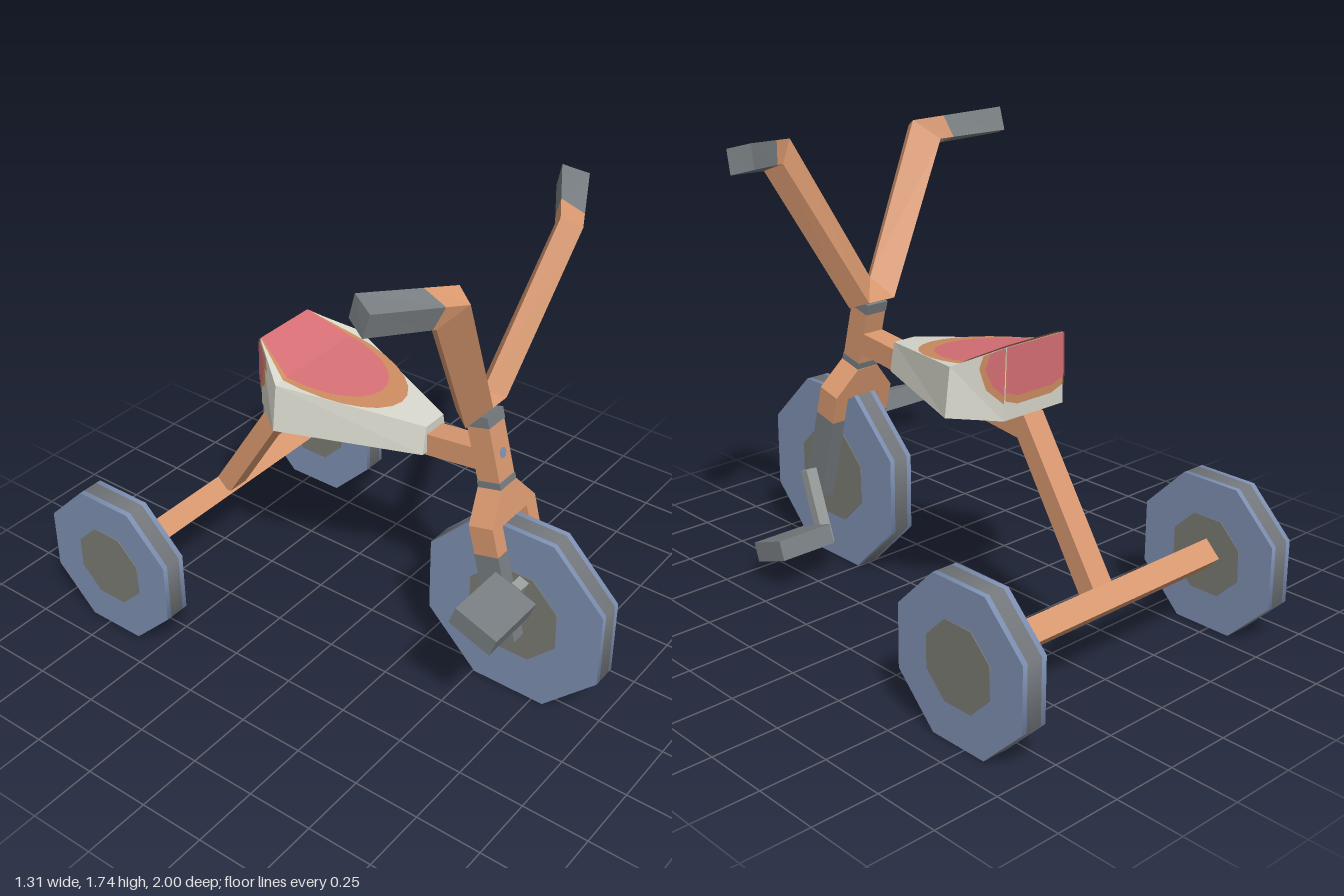
import * as THREE from 'three';

const mat = (name, color, side = THREE.FrontSide) => {
  const m = new THREE.MeshStandardMaterial({ color, side });
  m.name = name;
  return m;
};

export function createModel() {
  const orange = mat('orange frame', 0xd8986f);
  const blue = mat('blue wheel', 0x7e90b3);
  const tread = mat('tread grey', 0x74787c);
  const hubGrey = mat('hub grey', 0x7c7c75);
  const grey = mat('dark grey', 0x777d81);
  const crankGrey = mat('crank grey', 0x999d9c);
  const white = mat('seat white', 0xd8d7cc);
  const red = mat('seat red', 0xd66f75, THREE.DoubleSide);
  const trim = mat('seat trim', 0xcd8c60, THREE.DoubleSide);

  const model = new THREE.Group();
  model.name = 'tricycle';
  const add = (parent, name, geo, material, x = 0, y = 0, z = 0) => {
    const m = new THREE.Mesh(geo, material);
    m.name = name;
    m.position.set(x, y, z);
    parent.add(m);
    return m;
  };
  const group = (name, x, y, z) => {
    const g = new THREE.Group();
    g.name = name;
    g.position.set(x, y, z);
    model.add(g);
    return g;
  };
  const box = (w, h, d) => new THREE.BoxGeometry(w, h, d);

  // Flat-faced geometry from a list of triangles' corner points
  const facets = (pts) => {
    const g = new THREE.BufferGeometry();
    g.setAttribute('position', new THREE.Float32BufferAttribute(pts.flat(), 3));
    g.computeVertexNormals();
    return g;
  };
  // Closed loft through four-cornered rings
  const loft = (rings) => {
    const pts = [];
    const quad = (a, b, c, d) => pts.push(a, b, c, a, c, d);
    for (let r = 0; r < rings.length - 1; r++)
      for (let i = 0; i < 4; i++) {
        const j = (i + 1) % 4;
        quad(rings[r][i], rings[r][j], rings[r + 1][j], rings[r + 1][i]);
      }
    quad(...rings.at(-1));
    quad(...[...rings[0]].reverse());
    return facets(pts);
  };
  // Convex flat patch
  const fan = (p) => {
    const pts = [];
    for (let i = 1; i < p.length - 1; i++) pts.push(p[0], p[i], p[i + 1]);
    return facets(pts);
  };

  // Wheels: eight-sided, grey tread between blue rims
  const wheel = (name, x, y, z, hubR) => {
    const g = group(name, x, y, z);
    const disc = (part, apothem, width, m, px) => {
      const r = apothem / Math.cos(Math.PI / 8);
      const geo = new THREE.CylinderGeometry(r, r, width, 8, 1, false, Math.PI / 8);
      add(g, part, geo.rotateZ(Math.PI / 2), m, px);
    };
    disc('tread', y, 0.06, tread, 0);
    for (const s of [-1, 1]) {
      disc('rim', y, 0.02, blue, s * 0.04);
      disc('hub', hubR, 0.004, hubGrey, s * 0.051);
    }
  };
  wheel('frontWheel', 0, 0.35, 0.65, 0.177);
  wheel('leftRearWheel', 0.6, 0.28, -0.72, 0.143);
  wheel('rightRearWheel', -0.6, 0.28, -0.72, 0.143);

  // Rear axle: square bar standing on its edge
  const axle = new THREE.CylinderGeometry(0.06, 0.06, 1.1, 4).toNonIndexed();
  axle.computeVertexNormals();
  add(model, 'rearAxle', axle.rotateZ(Math.PI / 2), orange, 0, 0.283, -0.722);

  // Main frame bar, side profile as (z, y)
  const profile = [[0.47, 0.96], [-0.39, 0.86], [-0.75, 0.3], [-0.66, 0.3], [-0.36, 0.775], [0.49, 0.88]];
  const frame = new THREE.ExtrudeGeometry(
    new THREE.Shape(profile.map(([z, y]) => new THREE.Vector2(z, y))), { depth: 0.09, bevelEnabled: false });
  add(model, 'mainFrame', frame.translate(0, 0, -0.045).rotateY(-Math.PI / 2), orange);

  // Raked steering column and fork
  const fork = group('fork', 0, 1.08, 0.465);
  fork.rotation.x = -0.2487;
  add(fork, 'topCollar', box(0.094, 0.04, 0.094), grey, 0, -0.015);
  add(fork, 'steeringColumn', box(0.09, 0.23, 0.09), orange, 0, -0.14);
  add(fork, 'lowerCollar', box(0.094, 0.025, 0.094), grey, 0, -0.253);
  add(fork, 'badge', new THREE.CircleGeometry(0.02, 8), blue, 0, -0.145, 0.048);
  const crown = new THREE.Shape([[-0.046, -0.265], [-0.132, -0.37], [-0.132, -0.385], [0.132, -0.385],
    [0.132, -0.37], [0.046, -0.265]].map(([x, y]) => new THREE.Vector2(x, y)));
  add(fork, 'forkCrown', new THREE.ExtrudeGeometry(crown, { depth: 0.098, bevelEnabled: false }), orange, 0, 0, -0.049);
  for (const s of [-1, 1]) {
    add(fork, 'upperForkLeg', box(0.057, 0.1, 0.098), orange, s * 0.1035, -0.43);
    add(fork, 'lowerForkLeg', box(0.057, 0.335, 0.1), grey, s * 0.1035, -0.6475);
  }

  // Cranks and pedals, half a turn apart
  for (const [side, s, turn] of [['left', 1, 0.35], ['right', -1, 0.35 + Math.PI]]) {
    const g = group(side + 'Crank', 0, 0.35, 0.65);
    g.rotation.x = turn;
    add(g, 'crankArm', box(0.048, 0.295, 0.04), crankGrey, s * 0.157, -0.108);
    add(g, 'pedal', box(0.237, 0.075, 0.172), grey, s * 0.3, -0.2126);
  }

  // Handlebar: rings of front, lower, rear and upper corners
  const base = [[0.04, 1.14, 0.525], [0.1, 1.065, 0.46], [0.06, 1.09, 0.395], [0, 1.165, 0.46]];
  const bend = [[0.32, 1.67, 0.605], [0.4, 1.6, 0.54], [0.365, 1.63, 0.475], [0.285, 1.7, 0.54]];
  const tip = [[0.61, 1.715, 0.455], [0.615, 1.63, 0.43], [0.575, 1.655, 0.35], [0.57, 1.74, 0.37]];
  const seamAt = [0.25, 0.05, 0.2, 0.35];
  const seam = bend.map((p, i) => p.map((v, k) => v + (tip[i][k] - v) * seamAt[i]));
  const mirror = (ring) => ring.map(([x, y, z]) => [-x, y, z]);
  add(model, 'handlebar', loft([mirror(seam), mirror(bend), mirror(base), base, bend, seam]), orange);
  add(model, 'leftGrip', loft([seam, tip]), grey);
  add(model, 'rightGrip', loft([mirror(tip), mirror(seam)]), grey);

  // Seat body: rings across, from back to front
  const section = (z, low, high, top) => [[-low, 0.865, z], [low, 0.865, z], [high, top, z], [-high, top, z]];
  add(model, 'seat', loft([section(-0.39, 0.14, 0.132, 1.12), section(-0.235, 0.262, 0.24, 1.04),
    section(0.27, 0.07, 0.05, 0.97)]), white);

  // Coloured cushion panels laid thinly over the seat
  const topY = (z) => (z > -0.235 ? 1.04 - (z + 0.235) * 0.1386 : 1.04 - (z + 0.235) * 0.516);
  const cushion = (name, m, lift, halfW, frontZ, backW, backY, sideEdge) => {
    const top = (x, z) => [x, topY(z) + lift, z];
    const arc = [];
    for (let i = 0; i <= 14; i++) {
      const a = (i / 14) * Math.PI;
      arc.push(top(halfW * Math.cos(a), -0.235 + (frontZ + 0.235) * Math.sin(a)));
    }
    add(model, name + 'Top', fan(arc), m);
    add(model, name + 'RearTop', fan([top(halfW, -0.235), top(-halfW, -0.235), top(-backW, -0.39), top(backW, -0.39)]), m);
    const zb = -0.39 - lift;
    add(model, name + 'Back', fan([[-0.132, 1.12, zb], [0.132, 1.12, zb], [0.136, backY, zb], [0.08, backY - 0.02, zb],
      [-0.08, backY - 0.02, zb], [-0.136, backY, zb]]), m);
    for (const s of [-1, 1]) {
      const side = ([z, y]) => {
        const t = (z + 0.39) / 0.155;
        const x = 0.14 + 0.122 * t - (y - 0.865) * (0.031 + 0.095 * t);
        return [s * (x + lift), y, z - lift * 0.8];
      };
      add(model, name + 'Side', fan(sideEdge.map(side)), m);
    }
  };
  cushion('cushionTrim', trim, 0.003, 0.2, 0.13, 0.131, 0.935,
    [[-0.39, 1.12], [-0.328, 1.086], [-0.318, 1.04], [-0.34, 0.97], [-0.39, 0.925]]);
  cushion('cushion', red, 0.006, 0.18, 0.045, 0.128, 0.965,
    [[-0.39, 1.12], [-0.348, 1.096], [-0.335, 1.04], [-0.358, 0.985], [-0.39, 0.955]]);

  return model;
}
